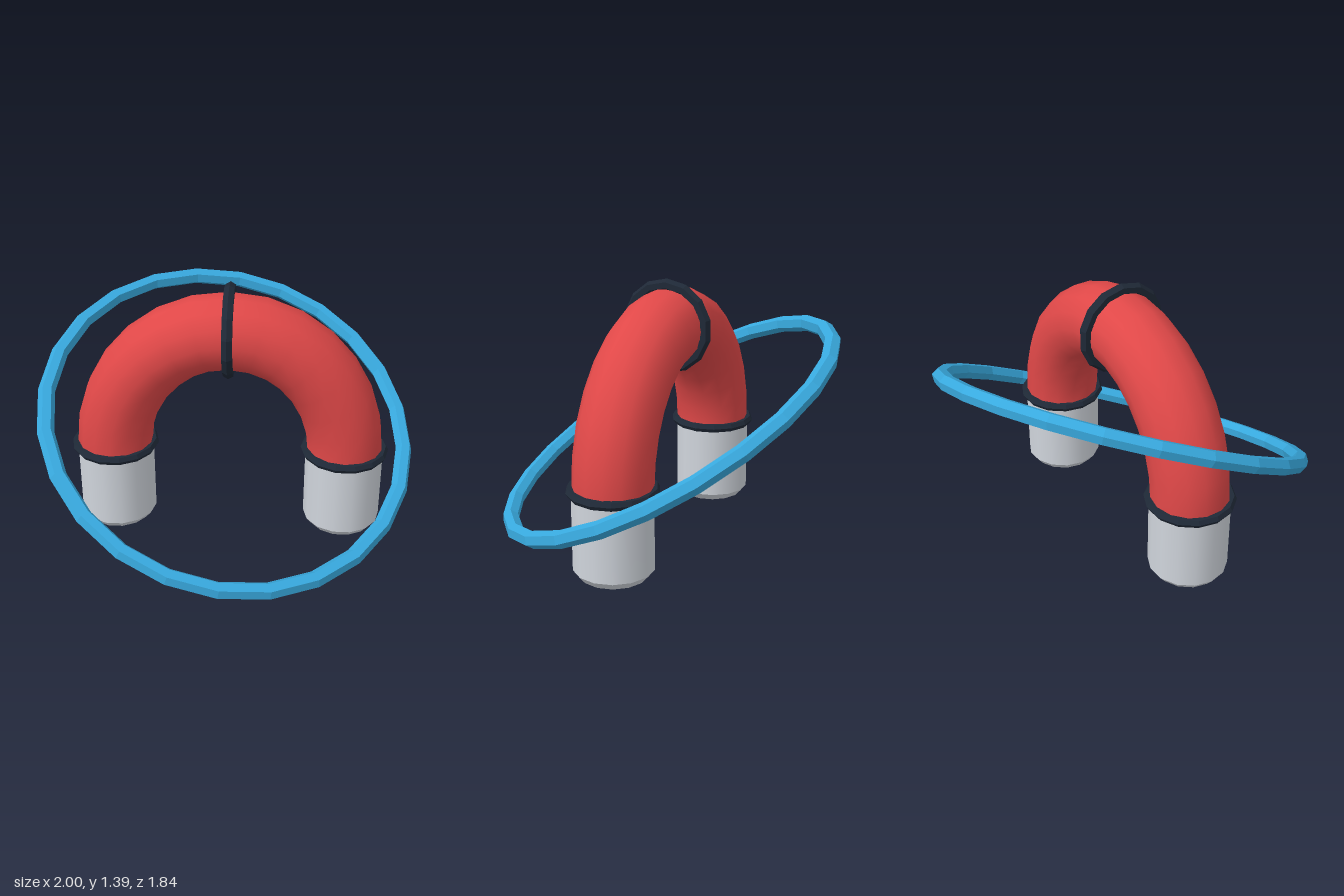
import * as THREE from 'three';

const SIDES = 14;
const LEG_X = 0.625, COLLAR_Y = 0.455, ARCH_TOP = 1.14;

// Half ellipse running from the right foot over the top to the left foot
class ArchCurve extends THREE.Curve {
  getPoint(t, target = new THREE.Vector3()) {
    const a = Math.PI * (1 - t);
    return target.set(LEG_X * Math.cos(a), 0.46 + (ARCH_TOP - 0.46) * Math.sin(a), 0);
  }
}

export function createModel() {
  const root = new THREE.Group();
  root.name = 'archWithRing';

  const mat = (name, color, flatShading = false) => {
    const m = new THREE.MeshStandardMaterial({ color, flatShading });
    m.name = name;
    return m;
  };
  const red = mat('red', 0xe04848);
  const silver = mat('silver', 0xd0d5dc);
  const dark = mat('darkNavy', 0x1f2937, true);
  const blue = mat('blue', 0x38a9de, true);

  const add = (name, geometry, material, parent = root) => {
    const mesh = new THREE.Mesh(geometry, material);
    mesh.name = name;
    parent.add(mesh);
    return mesh;
  };

  // Red arch
  add('arch', new THREE.TubeGeometry(new ArchCurve(), 14, 0.205, SIDES), red);

  // Silver pole ends with a chamfered foot, and a dark collar on each
  for (const [side, s] of [['left', 1], ['right', -1]]) {
    const leg = new THREE.Group();
    leg.name = side + 'Leg';
    leg.position.x = s * LEG_X;
    root.add(leg);

    const body = new THREE.CylinderGeometry(0.21, 0.21, 0.42, SIDES).rotateY(Math.PI / 2);
    add('poleBody', body.translate(0, 0.25, 0), silver, leg);

    const foot = new THREE.CylinderGeometry(0.21, 0.178, 0.04, SIDES).rotateY(Math.PI / 2);
    add('poleFoot', foot.translate(0, 0.02, 0), silver, leg);

    const collar = new THREE.TorusGeometry(0.212, 0.025, 6, SIDES).rotateX(Math.PI / 2);
    add('collar', collar.translate(0, COLLAR_Y, 0), dark, leg);
  }

  // Dark band around the top of the arch
  const band = new THREE.TorusGeometry(0.221, 0.031, 6, SIDES)
    .rotateZ(Math.PI / 2).rotateY(Math.PI / 2);
  add('topBand', band.translate(0, ARCH_TOP + 0.003, 0), dark);

  // Large tilted ring
  const orbit = new THREE.TorusGeometry(0.986, 0.045, 6, 24)
    .rotateX(Math.PI / 2).rotateZ(-0.24).rotateX(0.47);
  add('tiltedRing', orbit.translate(0, 0.605, 0), blue);

  return root;
}
